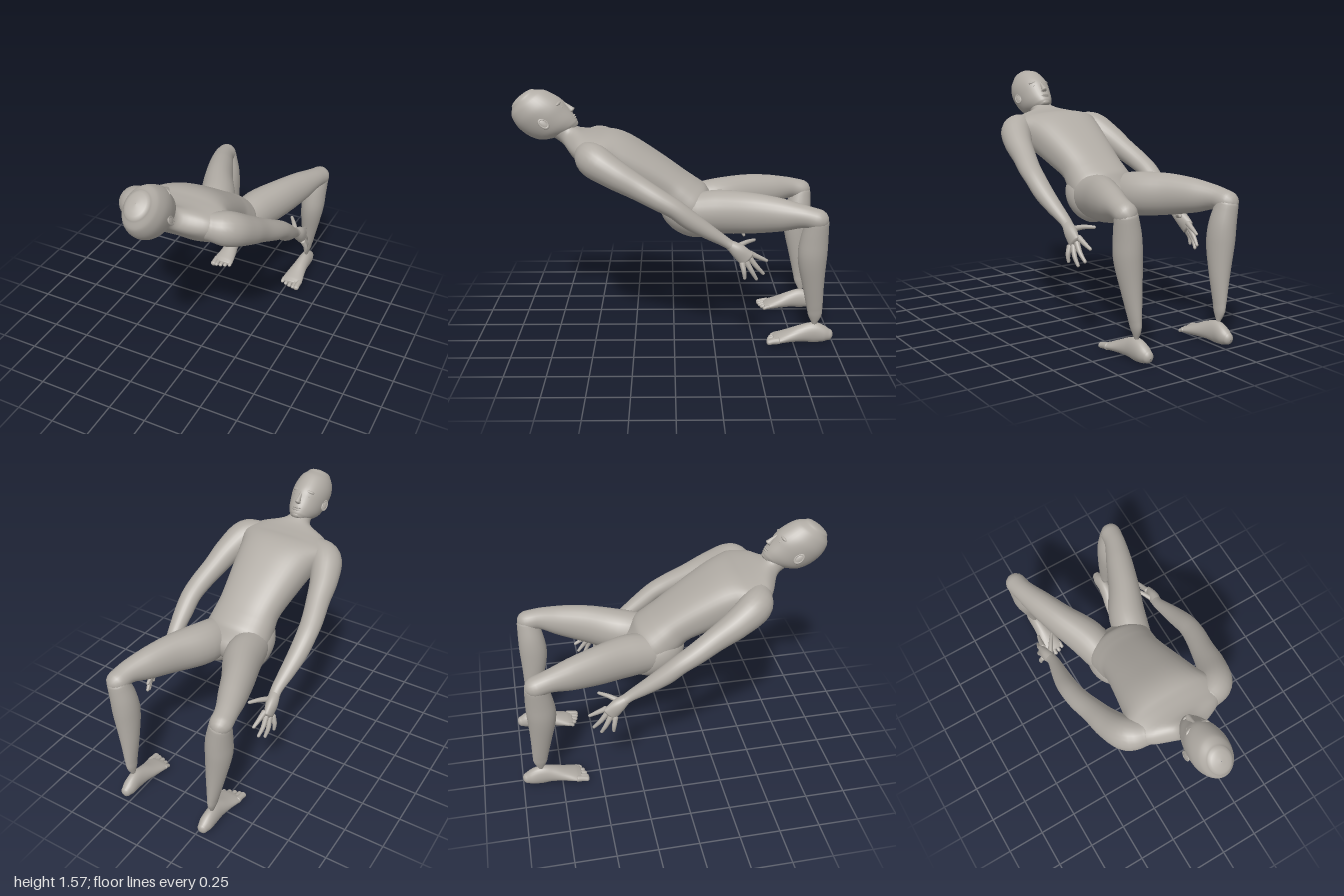
import * as THREE from 'three';

const skin = new THREE.MeshStandardMaterial({ color: 0xb0aba4 });
skin.name = 'warm grey';

const X = new THREE.Vector3(1, 0, 0);

// Smooth tube through rows [x, y, z, halfWidth, halfDepth] with rounded ends.
// side mirrors x; shape(angle, t) scales the radius around the section;
// axis keeps all sections square to one direction instead of the path.
function loft(rows, { side = 1, sub = 5, seg = 24, cap = 0.02, endCap = cap, shape = () => 1, axis = null } = {}) {
  const path = new THREE.CatmullRomCurve3(rows.map(r => new THREE.Vector3(r[0] * side, r[1], r[2])));
  const size = new THREE.CatmullRomCurve3(rows.map(r => new THREE.Vector3(r[3], r[4], 0)), false, 'catmullrom', 0.5);
  const n = (rows.length - 1) * sub;
  const rings = [];
  const ring = (t, scale, shift) => {
    const T = axis || path.getTangent(t).normalize();
    const V = T.clone().cross(X).normalize();
    const U = V.clone().cross(T);
    const r = size.getPoint(t);
    rings.push({ C: path.getPoint(t).addScaledVector(T, shift), U, V, ru: r.x * scale, rv: r.y * scale, t });
  };
  for (const k of [0.02, 0.3, 0.55, 0.8]) ring(0, Math.sin(k * Math.PI / 2), -cap * Math.cos(k * Math.PI / 2));
  for (let i = 0; i <= n; i++) ring(i / n, 1, 0);
  for (const k of [0.8, 0.55, 0.3, 0.02]) ring(1, Math.sin(k * Math.PI / 2), endCap * Math.cos(k * Math.PI / 2));

  const pos = [], idx = [];
  rings.forEach((g, i) => {
    for (let j = 0; j < seg; j++) {
      const a = j / seg * Math.PI * 2, m = shape(a, g.t);
      const p = g.C.clone().addScaledVector(g.U, Math.cos(a) * g.ru * m).addScaledVector(g.V, Math.sin(a) * g.rv * m);
      pos.push(p.x, p.y, p.z);
      if (i < rings.length - 1) {
        const k = (j + 1) % seg, A = i * seg + j, B = i * seg + k;
        idx.push(A, B, B + seg, A, B + seg, A + seg);
      }
    }
  });
  const geo = new THREE.BufferGeometry();
  geo.setAttribute('position', new THREE.Float32BufferAttribute(pos, 3));
  geo.setIndex(idx);
  geo.computeVertexNormals();
  return geo;
}

function add(parent, name, geo) {
  const mesh = new THREE.Mesh(geo, skin);
  mesh.name = name;
  parent.add(mesh);
  return mesh;
}

function ball(parent, name, [x, y, z], [rx, ry, rz]) {
  const mesh = add(parent, name, new THREE.SphereGeometry(1, 32, 20));
  mesh.position.set(x, y, z);
  mesh.scale.set(rx, ry, rz);
  return mesh;
}

function buildTorso(parent) {
  // slightly boxy section with a shallow groove along the spine
  const section = (a, t) => {
    const p = 2 + 0.5 * Math.sin(Math.PI * t);
    const box = (Math.abs(Math.cos(a)) ** p + Math.abs(Math.sin(a)) ** p) ** (-1 / p);
    return box * (1 - 0.07 * Math.sin(Math.PI * t) * Math.exp(-(((a - Math.PI / 2) / 0.25) ** 2)));
  };
  add(parent, 'torso', loft([
    [0, 1.34, 0.73, 0.072, 0.07],
    [0, 1.285, 0.655, 0.084, 0.068],
    [0, 1.24, 0.59, 0.235, 0.083],
    [0, 1.19, 0.49, 0.315, 0.124],
    [0, 1.15, 0.38, 0.264, 0.155],
    [0, 1.07, 0.22, 0.23, 0.146],
    [0, 0.97, 0.045, 0.202, 0.128],
    [0, 0.905, -0.03, 0.208, 0.14],
    [0, 0.835, -0.11, 0.215, 0.15],
    [0, 0.78, -0.19, 0.18, 0.11],
  ], { seg: 48, shape: section, endCap: 0.07 }));
}

function buildHead(parent) {
  // local y runs to the crown, local z out of the face
  const head = new THREE.Group();
  head.name = 'head';
  head.position.set(0, 1.41, 0.8);
  head.quaternion.setFromRotationMatrix(new THREE.Matrix4().makeBasis(
    new THREE.Vector3(-1, 0, 0), new THREE.Vector3(0, 0.78, 0.626), new THREE.Vector3(0, 0.626, -0.78)));
  parent.add(head);
  add(head, 'skull', loft([
    [0, 0.158, -0.04, 0.072, 0.088],
    [0, 0.12, -0.036, 0.098, 0.129],
    [0, 0.06, -0.028, 0.115, 0.151],
    [0, 0, -0.016, 0.115, 0.158],
    [0, -0.06, -0.006, 0.106, 0.147],
    [0, -0.11, 0.012, 0.092, 0.128],
    [0, -0.15, 0.045, 0.068, 0.09],
    [0, -0.17, 0.07, 0.045, 0.055],
  ], { seg: 40, cap: 0.025, endCap: 0.012, axis: new THREE.Vector3(0, -1, 0) }));
  add(head, 'nose', loft([
    [0, -0.005, 0.132, 0.009, 0.008],
    [0, -0.05, 0.142, 0.011, 0.014],
    [0, -0.085, 0.145, 0.019, 0.024],
  ], { seg: 16, cap: 0.01 }));
  ball(head, 'upperLip', [0, -0.119, 0.133], [0.028, 0.006, 0.012]);
  ball(head, 'lowerLip', [0, -0.132, 0.13], [0.025, 0.007, 0.012]);
  ball(head, 'chin', [0, -0.16, 0.108], [0.03, 0.02, 0.022]);
  for (const s of [-1, 1]) {
    ball(head, 'brow', [s * 0.042, 0.0, 0.117], [0.034, 0.012, 0.016]).rotation.y = s * 0.3;
    ball(head, 'eye', [s * 0.042, -0.03, 0.118], [0.017, 0.008, 0.012]).rotation.y = s * 0.3;
    const ear = new THREE.Group();
    ear.name = 'ear';
    ear.position.set(s * 0.116, -0.035, -0.02);
    ear.rotation.set(-0.2, s * (Math.PI / 2 - 0.35), 0);
    head.add(ear);
    ball(ear, 'earShell', [0, 0, 0], [0.02, 0.034, 0.007]);
    add(ear, 'earRim', new THREE.TorusGeometry(0.021, 0.006, 10, 28)).scale.set(1, 1.5, 1);
  }
}

function buildArm(parent, side) {
  const arm = new THREE.Group();
  arm.name = side > 0 ? 'leftArm' : 'rightArm';
  parent.add(arm);
  add(arm, 'armLimb', loft([
    [0.205, 1.2, 0.525, 0.083, 0.083],
    [0.295, 1.18, 0.478, 0.102, 0.102],
    [0.352, 1.115, 0.36, 0.09, 0.09],
    [0.385, 1.04, 0.22, 0.074, 0.074],
    [0.415, 0.97, 0.09, 0.068, 0.064],
    [0.425, 0.92, 0, 0.064, 0.058],
    [0.423, 0.85, -0.09, 0.06, 0.057],
    [0.412, 0.775, -0.2, 0.049, 0.045],
    [0.4, 0.71, -0.3, 0.037, 0.032],
    [0.402, 0.68, -0.345, 0.034, 0.03],
  ], { side, cap: 0.05, endCap: 0.01 }));
  add(arm, 'palm', loft([
    [0.4, 0.69, -0.33, 0.033, 0.03],
    [0.41, 0.655, -0.38, 0.036, 0.046],
    [0.418, 0.605, -0.435, 0.025, 0.052],
  ], { side, cap: 0.01, endCap: 0.015 }));
  // fingers: base, knuckle, tip
  const fingers = [
    ['thumb', [0.39, 0.67, -0.37], [0.352, 0.688, -0.43], [0.315, 0.692, -0.485]],
    ['indexFinger', [0.402, 0.635, -0.455], [0.395, 0.607, -0.51], [0.388, 0.585, -0.555]],
    ['middleFinger', [0.413, 0.61, -0.45], [0.418, 0.555, -0.495], [0.41, 0.51, -0.535]],
    ['ringFinger', [0.424, 0.59, -0.43], [0.436, 0.53, -0.465], [0.43, 0.482, -0.492]],
    ['littleFinger', [0.432, 0.58, -0.405], [0.45, 0.535, -0.415], [0.45, 0.495, -0.42]],
  ];
  for (const [name, a, b, c] of fingers)
    add(arm, name, loft([[...a, 0.018, 0.018], [...b, 0.014, 0.014], [...c, 0.01, 0.01]], { side, seg: 12, cap: 0.01 }));
}

function buildLeg(parent, side) {
  const leg = new THREE.Group();
  leg.name = side > 0 ? 'leftLeg' : 'rightLeg';
  parent.add(leg);
  ball(leg, 'buttock', [side * 0.106, 0.795, -0.09], [0.124, 0.13, 0.19]).rotation.x = -0.53;
  add(leg, 'thigh', loft([
    [0.118, 0.808, -0.13, 0.108, 0.125],
    [0.147, 0.822, -0.28, 0.12, 0.138],
    [0.235, 0.838, -0.48, 0.1, 0.127],
    [0.3, 0.845, -0.65, 0.085, 0.102],
    [0.345, 0.848, -0.78, 0.068, 0.07],
    [0.36, 0.832, -0.86, 0.067, 0.065],
  ], { side, cap: 0.06, endCap: 0.067 }));
  add(leg, 'shin', loft([
    [0.357, 0.82, -0.862, 0.066, 0.068],
    [0.338, 0.7, -0.848, 0.078, 0.085],
    [0.33, 0.58, -0.842, 0.078, 0.089],
    [0.315, 0.4, -0.858, 0.057, 0.067],
    [0.305, 0.25, -0.875, 0.034, 0.05],
    [0.3, 0.19, -0.88, 0.025, 0.042],
    [0.295, 0.135, -0.88, 0.012, 0.016],
  ], { side, cap: 0.04, endCap: 0.01 }));
  add(leg, 'foot', loft([
    [0.287, 0.052, -0.975, 0.032, 0.036],
    [0.287, 0.058, -0.94, 0.042, 0.053],
    [0.288, 0.068, -0.88, 0.043, 0.067],
    [0.284, 0.062, -0.81, 0.048, 0.056],
    [0.28, 0.045, -0.73, 0.062, 0.04],
    [0.28, 0.03, -0.66, 0.074, 0.027],
    [0.28, 0.024, -0.635, 0.07, 0.02],
  ], { side, cap: 0.025, endCap: 0.012 }));
  // toes, the big one outermost
  for (let i = 0; i < 5; i++) {
    const x = i ? 0.31 - (i - 1) * 0.031 : 0.335, r = i ? 0.016 - i * 0.0006 : 0.021;
    const tip = -0.592 - i * i * 0.0022;
    add(leg, 'toe', loft([
      [x, 0.03, -0.655, r, r], [x, 0.027, (tip - 0.655) / 2, r * 0.9, r * 0.9], [x, 0.021, tip, r, r * 0.85],
    ], { side, seg: 14, cap: 0.01, endCap: 0.014 }));
  }
}

export function createModel() {
  const figure = new THREE.Group();
  figure.name = 'figure';
  buildTorso(figure);
  buildHead(figure);
  for (const side of [1, -1]) {
    buildArm(figure, side);
    buildLeg(figure, side);
  }
  return figure;
}
